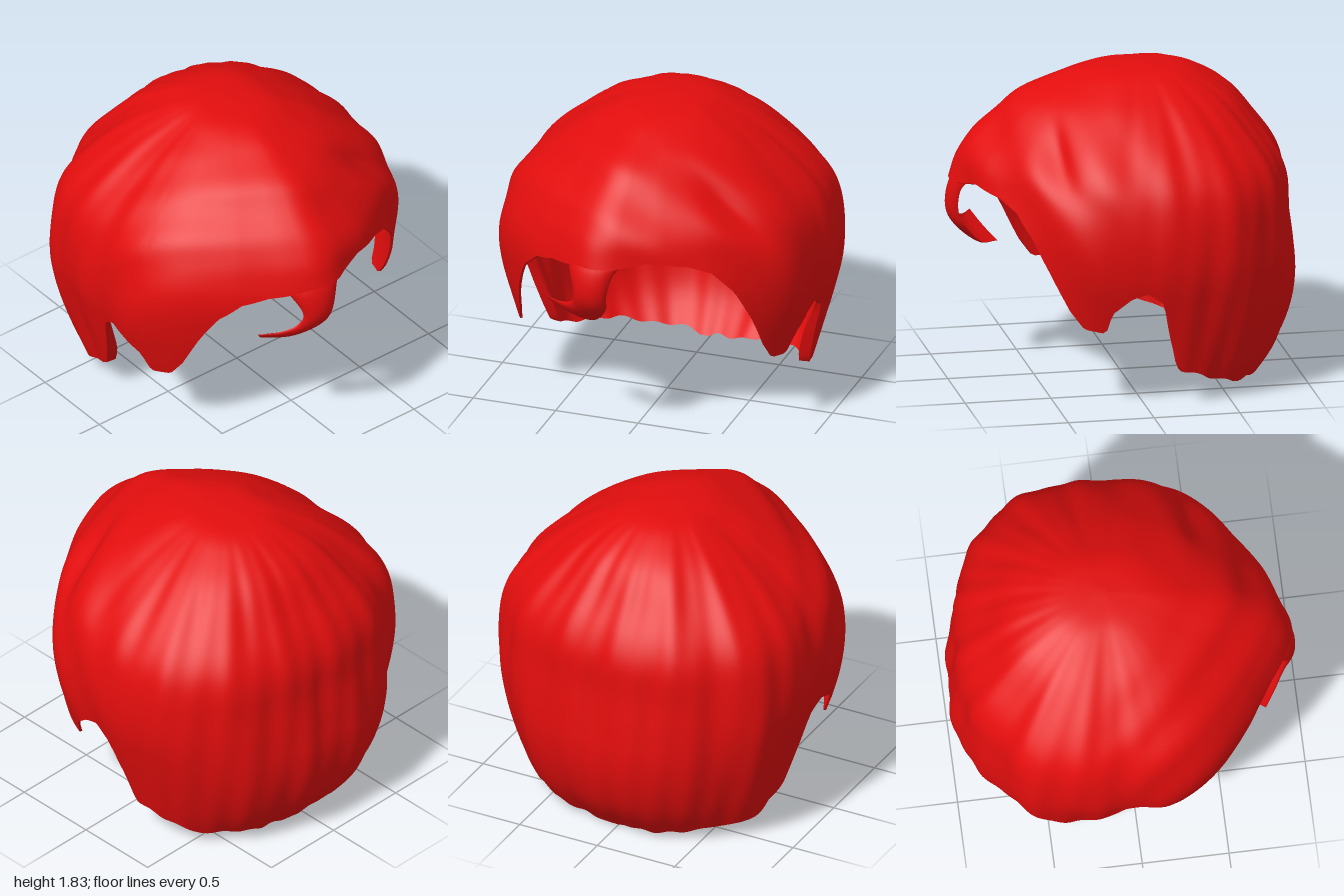
import * as THREE from 'three';

const hairRed = new THREE.MeshStandardMaterial({ color: 0xe20d0d, side: THREE.DoubleSide });
hairRed.name = 'hairRed';

const CZ = -0.1;            // crown axis
const COLS = 240, ROWS = 48;
const RAD = Math.PI / 180;

// Widest plan outline (x, z), going round from the brow point
const outline = [
  [-0.1, 1.01], [0.1, 0.93], [0.38, 0.8], [0.67, 0.6], [0.87, 0.37], [0.92, 0.1], [0.94, -0.25], [0.9, -0.5],
  [0.8, -0.66], [0.6, -0.84], [0.3, -0.95], [0, -0.99], [-0.25, -0.99], [-0.48, -0.93], [-0.66, -0.78],
  [-0.85, -0.67], [-0.91, -0.5], [-0.93, -0.1], [-0.94, 0.2], [-0.87, 0.38], [-0.65, 0.62], [-0.43, 0.79],
].map(([x, z]) => [Math.atan2(x, z - CZ) / RAD, Math.hypot(x, z - CZ)]).sort((a, b) => a[0] - b[0]);

// Profile heights, with the width at each height for front, side and back
const levels = [1.845, 1.825, 1.76, 1.66, 1.5, 1.35, 1.2, 1.0, 0.8, 0.6, 0.4, 0.2, 0];
const widths = {
  front: [0, 0.26, 0.46, 0.66, 0.82, 0.94, 0.98, 1, 0.97, 0.93, 0.88, 0.83, 0.78],
  side: [0, 0.21, 0.37, 0.55, 0.76, 0.9, 0.97, 1, 0.99, 0.94, 0.88, 0.82, 0.76],
  back: [0, 0.28, 0.46, 0.62, 0.76, 0.88, 0.945, 0.96, 0.985, 1, 0.97, 0.88, 0.7],
};
const profile = Object.fromEntries(Object.entries(widths).map(([k, w]) =>
  [k, new THREE.CatmullRomCurve3(w.map((v, i) => new THREE.Vector3(v, levels[i], 0)), false, 'catmullrom')]));

// Lower edge height by angle from the front: brow, sideburn, ear notch, nape
const hem = [
  [0, 1.18], [11, 1.22], [24, 1.19], [33, 1.13], [41, 1.0], [48, 0.8], [54, 0.6], [59, 0.49], [67, 0.47], [70, 0.6],
  [77, 0.69], [83, 0.72], [89, 0.65], [92, 0.46], [97, 0.23], [110, 0.15], [122, 0.11], [145, 0.07], [180, 0.01],
];

function lerpTable(table, v) {
  let i = 1;
  while (i < table.length - 1 && table[i][0] < v) i++;
  const [a, b] = [table[i - 1], table[i]];
  return a[1] + (b[1] - a[1]) * THREE.MathUtils.clamp((v - a[0]) / (b[0] - a[0]), 0, 1);
}

function planRadius(deg) {
  const n = outline.length;
  const ring = [[outline[n - 1][0] - 360, outline[n - 1][1]], ...outline, [outline[0][0] + 360, outline[0][1]]];
  const wrap = (d) => ((d + 540) % 360) - 180;
  return [-5, -2.5, 0, 2.5, 5].reduce((s, o) => s + lerpTable(ring, wrap(deg + o)), 0) / 5;
}

function hemHeight(deg) {
  const a = Math.abs(deg);
  let y = lerpTable(hem, a);
  if (deg < 0 && a < 45) y -= 0.06 * Math.sin(a / 45 * Math.PI);
  if (a > 95) y += 0.015 * Math.sin(deg * 0.31) * Math.sin(deg * 0.13 + 1);
  return y;
}

const bump = (v, c, w) => Math.exp(-(((v - c) / w) ** 2));
const { smoothstep, lerp } = THREE.MathUtils;

// Point on the outer hair surface: s = 0 at the crown, 1 at the hem
function hairPoint(deg, s, radius, hemY) {
  let k = 1;
  while (k < levels.length - 1 && levels[k] > hemY) k++;
  const end = (k - (hemY - levels[k]) / (levels[k - 1] - levels[k])) / (levels.length - 1);
  const a = deg * RAD, c = Math.cos(a), u = s * end;
  const p = profile.side.getPoint(u).lerp(profile[c > 0 ? 'front' : 'back'].getPoint(u), c * c);
  const x = Math.sin(a) * radius * p.x, z = CZ + c * radius * p.x;
  // front strands sweep across the brow, back strands fall to the nape
  const front = smoothstep(z, -0.4, 0.3);
  const swept = Math.sin(17 * (z - 0.45 * x + 0.35 * x * x) - 9 * p.y);
  const fallen = Math.sin(15 * a + 2.5 * p.y) + 0.5 * Math.sin(31 * a - 3 * p.y);
  const wave = 0.008 * lerp(fallen, swept, front) * smoothstep(p.x, 0.15, 0.8);
  // fold above the left temple
  const fold = 0.05 * bump(deg, 46 - (p.y - 1.4) * 60, 7) * bump(p.y, 1.42, 0.16);
  const r = radius * p.x + wave - fold;
  return new THREE.Vector3(Math.sin(a) * r, p.y, CZ + c * r);
}

// Smooth mesh from a grid of points joined round; optional shared pole in the first row
function gridMesh(name, rows, pole) {
  const n = rows[0].length, idx = [];
  const id = (i, j) => (pole && i === 0 ? 0 : i * n + (j % n));
  for (let i = 0; i < rows.length - 1; i++) {
    for (let j = 0; j < n; j++) {
      const [a, b, c, d] = [id(i, j), id(i + 1, j), id(i + 1, j + 1), id(i, j + 1)];
      idx.push(a, b, c);
      if (!(pole && i === 0)) idx.push(a, c, d);
    }
  }
  const g = new THREE.BufferGeometry().setFromPoints(rows.flat());
  g.setIndex(idx);
  g.computeVertexNormals();
  const m = new THREE.Mesh(g, hairRed);
  m.name = name;
  return m;
}

// Forelock: matching left and right edge points from under the brow to the curled tip
function forelock() {
  const V = (p) => new THREE.Vector3(...p);
  const left = new THREE.CatmullRomCurve3([[-0.34, 1.2, 0.77], [-0.28, 1.11, 0.87], [-0.24, 1.0, 0.92], [-0.27, 0.92, 0.89],
    [-0.36, 0.885, 0.84], [-0.46, 0.88, 0.78]].map(V), false, 'catmullrom');
  const right = new THREE.CatmullRomCurve3([[0.1, 1.24, 0.85], [0.0, 1.14, 0.92], [-0.04, 1.0, 0.93], [-0.06, 0.89, 0.88],
    [-0.16, 0.77, 0.77], [-0.3, 0.73, 0.65]].map(V), false, 'catmullrom');
  const rows = [];
  for (let i = 0; i <= 30; i++) {
    const t = i / 30, l = left.getPoint(t), r = right.getPoint(t);
    const along = left.getTangent(t).add(right.getTangent(t));
    const out = along.cross(r.clone().sub(l)).normalize();
    if (out.z < 0) out.negate();
    const thick = 0.09 * (1 - 0.8 * t);
    const row = [];
    for (let j = 0; j < 20; j++) {
      const a = j / 20 * Math.PI * 2, q = Math.sin(a);
      row.push(l.clone().lerp(r, 0.5 - 0.5 * Math.cos(a)).addScaledVector(out, q > 0 ? q * thick : -q * thick * 0.3));
    }
    rows.push(row);
  }
  const tip = rows[30].reduce((s, p) => s.add(p), new THREE.Vector3()).divideScalar(20);
  rows.push(rows[30].map(() => tip.clone()));
  return gridMesh('forelock', rows, false);
}

export function createModel() {
  const group = new THREE.Group();
  group.name = 'hair';

  const outer = Array.from({ length: ROWS + 1 }, () => []);
  const inner = Array.from({ length: ROWS + 1 }, () => []);
  for (let j = 0; j < COLS; j++) {
    const deg = -180 + 360 * j / COLS;
    const radius = planRadius(deg), y = hemHeight(deg);
    // lining thins out towards the hem, but stays thick behind the ears
    const edge = 0.015 + 0.07 * bump(Math.abs(deg), 95, 6);
    for (let i = 0; i <= ROWS; i++) {
      const s = i / ROWS, p = hairPoint(deg, s, radius, y);
      const inset = lerp(0.05, edge, smoothstep(s, 0.8, 1));
      outer[i].push(p);
      inner[i].push(new THREE.Vector3(p.x * (1 - inset), p.y - Math.max(0, p.y - 0.75) * inset * 0.8,
        CZ + (p.z - CZ) * (1 - inset)));
    }
  }
  group.add(gridMesh('outerHair', outer, true));
  group.add(gridMesh('innerHair', inner.map((r) => r.slice().reverse()), true));
  group.add(gridMesh('hemEdge', [outer[ROWS], inner[ROWS]], false));
  group.add(forelock());
  return group;
}
